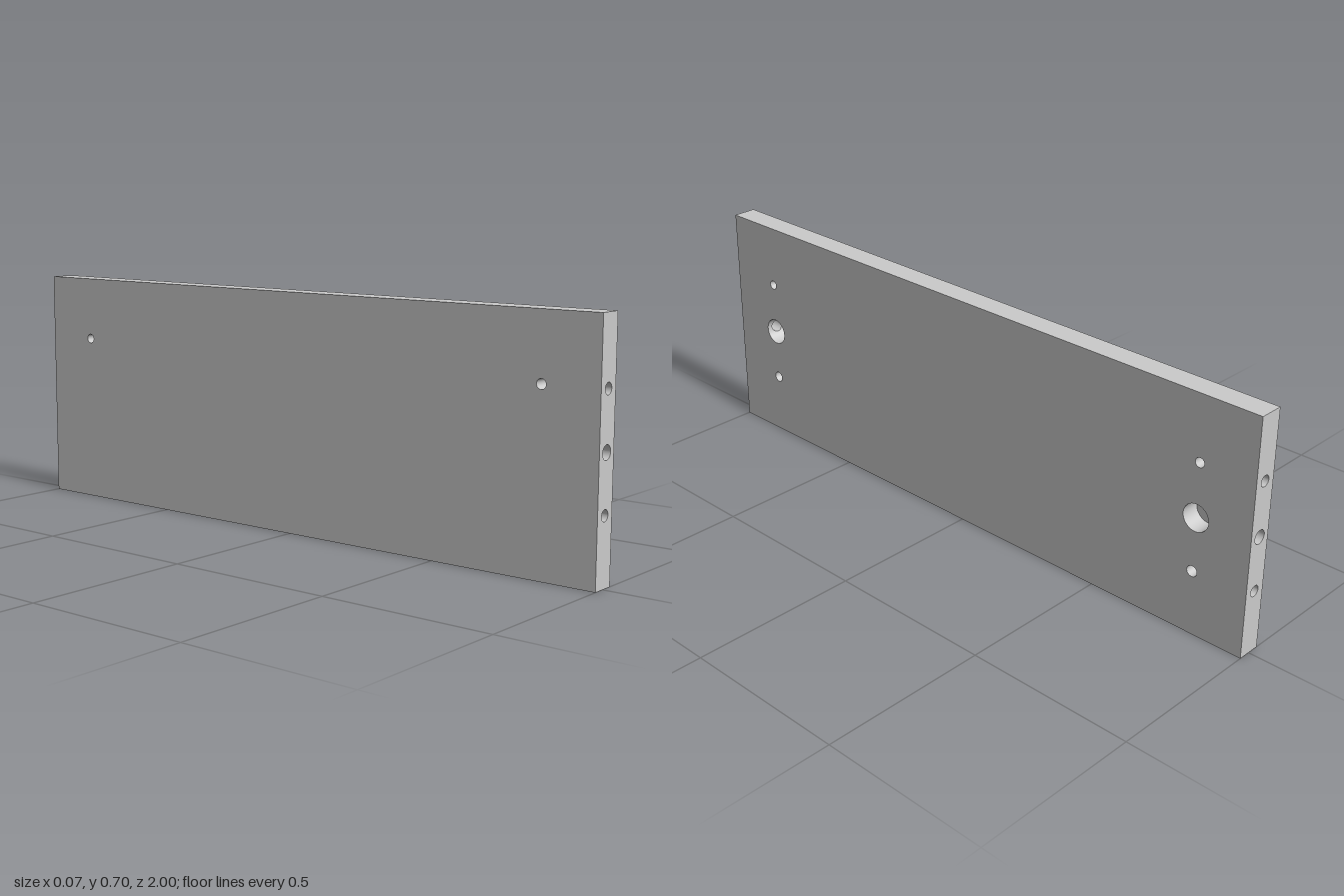
import * as THREE from 'three';

const W = 0.036, H = 0.7, L = 1;            // half thickness, height, half length
const HOLE_Z = 0.83, MID = 0.35, LOW = 0.19, HIGH = 0.51;
const POCKET_R = 0.04, POCKET_FLOOR = -0.022, BORE_R = 0.02, DOWEL_R = 0.016, PILOT_R = 0.014;
const SEG = 64;

const solid = new THREE.MeshStandardMaterial({ color: 0xcccccc });
const open = new THREE.MeshStandardMaterial({ color: 0xcccccc, side: THREE.DoubleSide });

export function createModel() {
  const model = new THREE.Group();
  model.name = 'drilledPanel';

  const add = (name, geometry, material = solid) => {
    const mesh = new THREE.Mesh(geometry, material);
    mesh.name = name;
    model.add(mesh);
  };

  // Upright flat face with circular holes [across, y, radius], pushed out and turned about y
  const face = (name, half, holes, distance, turn) => {
    const shape = new THREE.Shape();
    shape.moveTo(-half, 0).lineTo(half, 0).lineTo(half, H).lineTo(-half, H).closePath();
    for (const [u, y, r] of holes) {
      shape.holes.push(new THREE.Path().absarc(u, y, r, 0, Math.PI * 2, true));
    }
    add(name, new THREE.ShapeGeometry(shape, SEG / 2).translate(0, 0, distance).rotateY(turn));
  };

  // Curved wall lofted between two edge curves, each a function of angle
  const wall = (name, edgeA, edgeB, from = 0, to = Math.PI * 2) => {
    const points = [], index = [];
    for (let i = 0; i <= SEG; i++) {
      const a = from + (to - from) * i / SEG;
      points.push(...edgeA(a), ...edgeB(a));
      if (i < SEG) index.push(2 * i, 2 * i + 1, 2 * i + 2, 2 * i + 1, 2 * i + 3, 2 * i + 2);
    }
    const g = new THREE.BufferGeometry();
    g.setAttribute('position', new THREE.Float32BufferAttribute(points, 3));
    g.setIndex(index);
    g.computeVertexNormals();
    add(name, g, open);
  };

  // Hole through the broad side, running along x
  const sideHole = (name, y, z, r, floor, hasFloor) => {
    const ring = x => a => [x, y + r * Math.sin(a), z + r * Math.cos(a)];
    wall(name, ring(W), ring(floor));
    if (hasFloor) {
      add(name + 'Floor', new THREE.CircleGeometry(r, SEG / 2).rotateY(Math.PI / 2).translate(floor, y, z));
    }
  };

  // Flat faces of the board
  const ends = [-1, 1];
  const pilots = ends.map(s => [s * HOLE_Z, HIGH, PILOT_R]);
  const fittings = ends.flatMap(s => [[s * HOLE_Z, MID, POCKET_R], [s * HOLE_Z, LOW, DOWEL_R]]);
  const endHoles = [[0, LOW, DOWEL_R], [0, MID, BORE_R], [0, HIGH, DOWEL_R]];
  face('leftFace', L, [...pilots, ...fittings], W, Math.PI / 2);
  face('rightFace', L, pilots, W, -Math.PI / 2);
  face('frontEnd', W, endHoles, L, 0);
  face('backEnd', W, endHoles, L, Math.PI);
  add('topEdge', new THREE.PlaneGeometry(2 * W, 2 * L).rotateX(-Math.PI / 2).translate(0, H, 0));
  add('bottomEdge', new THREE.PlaneGeometry(2 * W, 2 * L).rotateX(Math.PI / 2));

  for (const s of ends) {
    const z = s * HOLE_Z;
    sideHole('pilotHole', HIGH, z, PILOT_R, -W, false);
    sideHole('sideDowelHole', LOW, z, DOWEL_R, -0.012, true);

    // Blind dowel holes in the end
    const depth = 0.1;
    for (const y of [LOW, HIGH]) {
      const ring = d => a => [DOWEL_R * Math.cos(a), y + DOWEL_R * Math.sin(a), s * d];
      wall('endDowelHole', ring(L), ring(L - depth));
      add('endDowelHoleFloor', new THREE.CircleGeometry(DOWEL_R, SEG / 2)
        .rotateY(s > 0 ? 0 : Math.PI).translate(0, y, s * (L - depth)));
    }

    // Pocket wall, split above and below the opening of the end bore
    const onPocket = (x, a) => [x, MID + POCKET_R * Math.sin(a), s * (HOLE_Z + POCKET_R * Math.cos(a))];
    const gap = a => Math.sqrt(Math.max(0, BORE_R ** 2 - (POCKET_R * Math.sin(a)) ** 2));
    const reach = Math.asin(BORE_R / POCKET_R);
    wall('pocketWall', a => onPocket(W, a), a => onPocket(POCKET_FLOOR, a), reach, Math.PI * 2 - reach);
    wall('pocketWallOuter', a => onPocket(W, a), a => onPocket(gap(a), a), -reach, reach);
    wall('pocketWallInner', a => onPocket(-gap(a), a), a => onPocket(POCKET_FLOOR, a), -reach, reach);
    add('pocketFloor', new THREE.CircleGeometry(POCKET_R, SEG)
      .rotateY(Math.PI / 2).translate(POCKET_FLOOR, MID, z));

    // Bore from the end into the pocket
    const onBore = (a, d) => [BORE_R * Math.cos(a), MID + BORE_R * Math.sin(a), s * d];
    wall('endBore', a => onBore(a, L),
      a => onBore(a, HOLE_Z + Math.sqrt(POCKET_R ** 2 - (BORE_R * Math.sin(a)) ** 2)));
  }
  return model;
}
